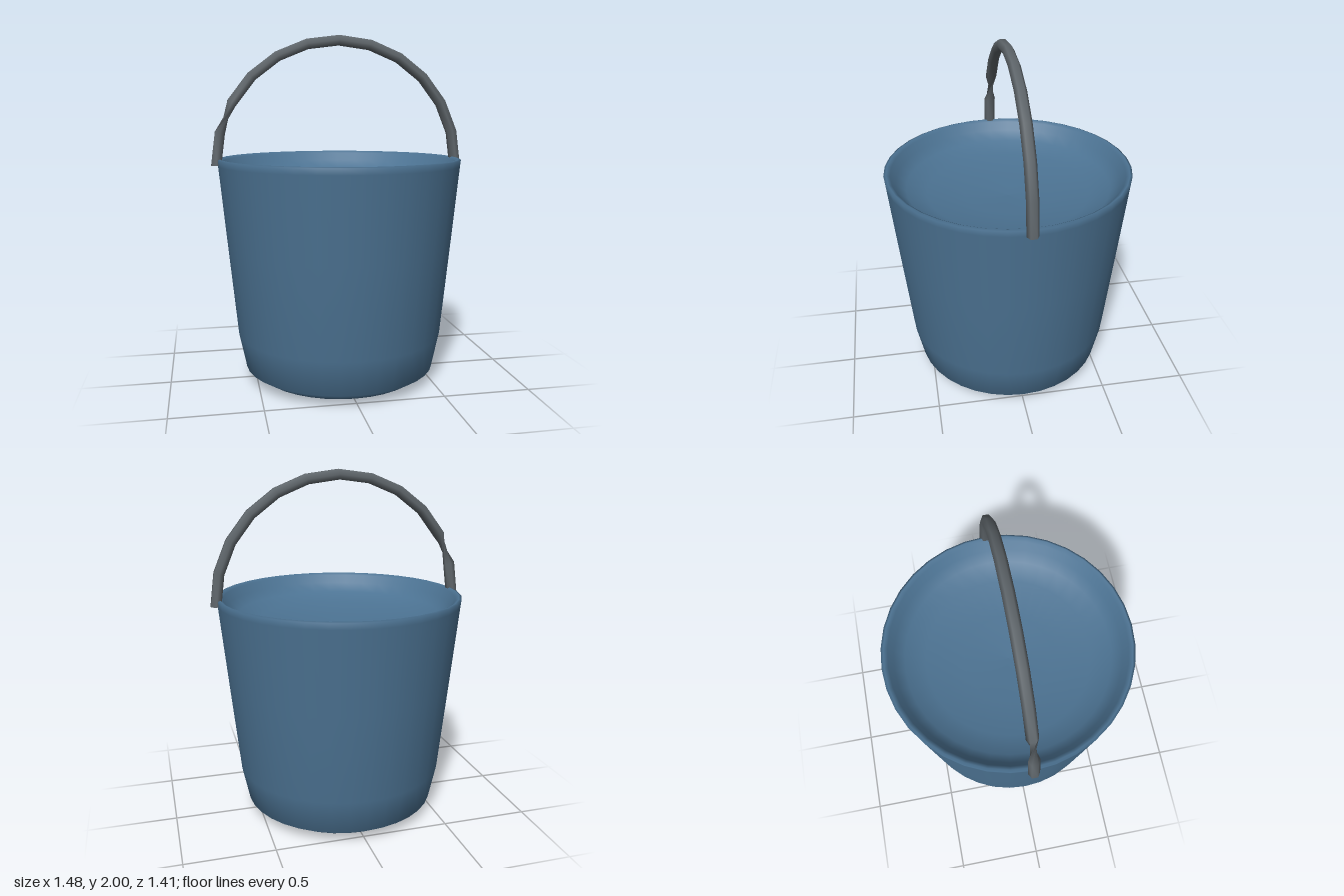
import * as THREE from 'three';

const bucketBlue = new THREE.MeshStandardMaterial({ color: 0x4c7393 });
bucketBlue.name = 'bucketBlue';
const handleGrey = new THREE.MeshStandardMaterial({ color: 0x5f666b });
handleGrey.name = 'handleGrey';

// Closed profile: underside, outer wall, rolled rim, shallow dished top
function makeBucket() {
  const profile = [
    [0, 0], [0.35, 0.007], [0.48, 0.019], [0.557, 0.068], [0.6, 0.27],
    [0.652, 0.78], [0.7, 1.26], [0.704, 1.295], [0.69, 1.3], [0.668, 1.287],
    [0.64, 1.24], [0.585, 1.19], [0.47, 1.15], [0.25, 1.12], [0, 1.11],
  ].map(([x, y]) => new THREE.Vector2(x, y));
  const mesh = new THREE.Mesh(new THREE.LatheGeometry(profile, 36), bucketBlue);
  mesh.name = 'bucket';
  return mesh;
}

// Six-sided bar swept over a half circle, with one twisted segment near its right end
function makeHandle() {
  const STEPS = 12, SIDES = 6, R = 0.033, RX = 0.71, RY = 0.708, BASE = 1.264;
  const positions = [], index = [];
  for (let i = 0; i <= STEPS; i++) {
    const a = (i / STEPS) * Math.PI;
    const twist = i > STEPS - 2 ? Math.PI : 0;
    for (let j = 0; j < SIDES; j++) {
      const t = (j / SIDES) * Math.PI * 2 + twist;
      const out = R * Math.sin(t);
      positions.push((RX + out) * Math.cos(a), BASE + (RY + out) * Math.sin(a), R * Math.cos(t));
    }
  }
  for (let i = 0; i < STEPS; i++) {
    for (let j = 0; j < SIDES; j++) {
      const k = (j + 1) % SIDES;
      const a = i * SIDES + j, b = i * SIDES + k;
      const c = a + SIDES, d = b + SIDES;
      index.push(a, b, c, b, d, c);
    }
  }
  const geometry = new THREE.BufferGeometry();
  geometry.setAttribute('position', new THREE.Float32BufferAttribute(positions, 3));
  geometry.setIndex(index);
  geometry.computeVertexNormals();
  const bar = new THREE.Mesh(geometry, handleGrey);
  bar.name = 'handleBar';

  const handle = new THREE.Group();
  handle.name = 'handle';
  handle.add(bar);
  // Flat ends facing down
  for (const side of [-1, 1]) {
    const cap = new THREE.Mesh(new THREE.CircleGeometry(R, SIDES, Math.PI / 2), handleGrey);
    cap.name = side > 0 ? 'leftHandleEnd' : 'rightHandleEnd';
    cap.rotation.x = Math.PI / 2;
    cap.position.set(side * RX, BASE, 0);
    handle.add(cap);
  }
  return handle;
}

export function createModel() {
  const model = new THREE.Group();
  model.name = 'bucketWithHandle';
  model.add(makeBucket(), makeHandle());
  return model;
}
